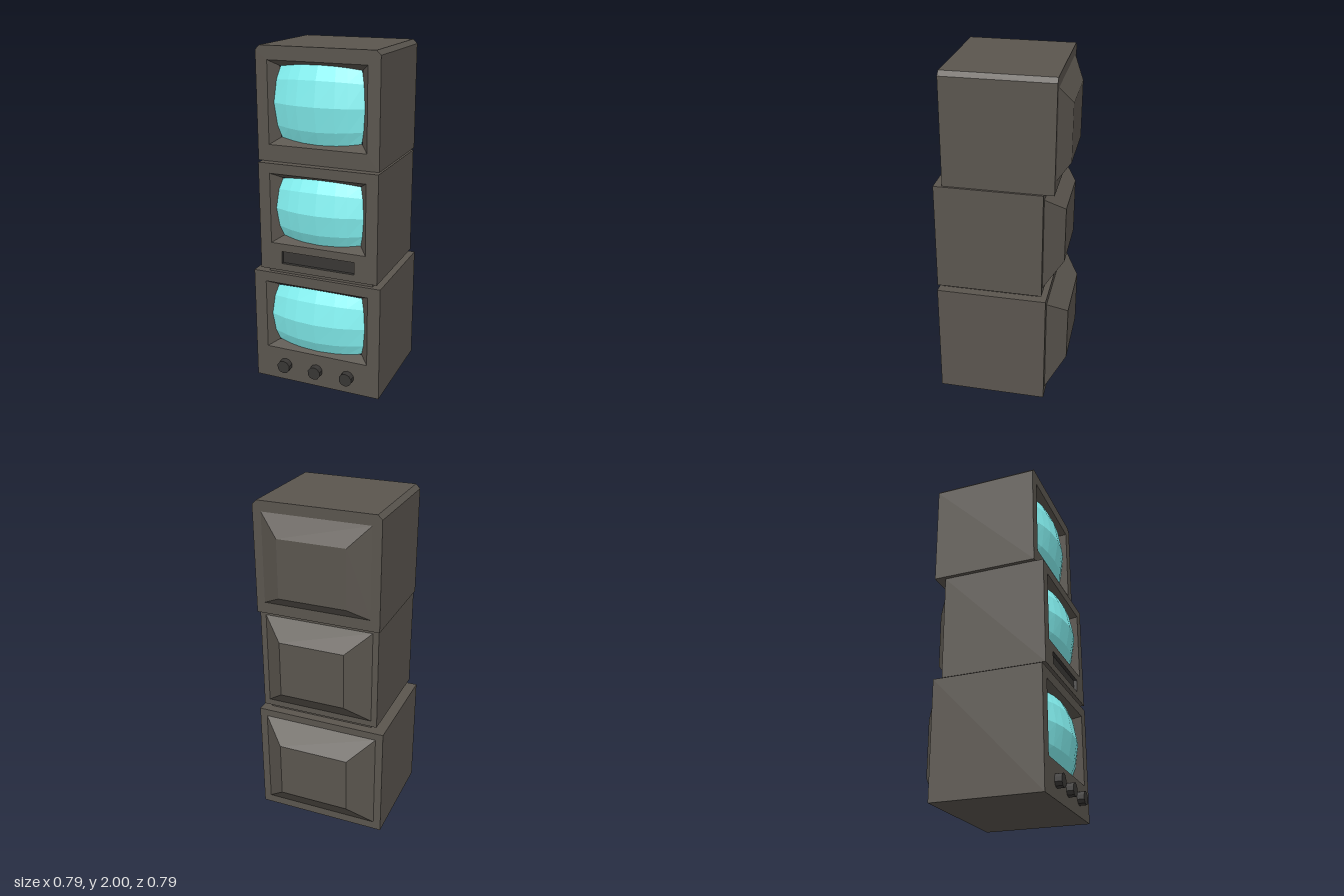
import * as THREE from 'three';

const material = (color) => new THREE.MeshStandardMaterial({ color, flatShading: true });
const shell = material(0x5a554e), dark = material(0x383634), glass = material(0x84f2f2);

// Rectangle [x0, x1, y0, y1] as a counterclockwise loop; c chamfers the two top corners
function loop([x0, x1, y0, y1], c = 0) {
  const p = c
    ? [[x0, y0], [x1, y0], [x1, y1 - c], [x1 - c, y1], [x0 + c, y1], [x0, y1 - c]]
    : [[x0, y0], [x1, y0], [x1, y1], [x0, y1]];
  return p.map(([x, y]) => new THREE.Vector2(x, y));
}

function addMesh(group, name, geometry, mat) {
  const mesh = new THREE.Mesh(geometry, mat);
  mesh.name = name;
  group.add(mesh);
  return mesh;
}

// Walls between loop a at za and loop b at zb
function walls(a, za, b, zb) {
  const pos = [];
  a.forEach((p, i) => {
    const j = (i + 1) % a.length;
    const A = [p.x, p.y, za], B = [a[j].x, a[j].y, za];
    const C = [b[j].x, b[j].y, zb], D = [b[i].x, b[i].y, zb];
    pos.push(...A, ...B, ...C, ...A, ...C, ...D);
  });
  const g = new THREE.BufferGeometry();
  g.setAttribute('position', new THREE.Float32BufferAttribute(pos, 3));
  g.computeVertexNormals();
  return g;
}

// Flat panel with holes, facing the front or the back
function panel(points, z, holes = [], back = false) {
  const shape = new THREE.Shape(points);
  holes.forEach((h) => shape.holes.push(new THREE.Path(h)));
  const g = new THREE.ShapeGeometry(shape);
  if (back) g.index.array.reverse();
  g.translate(0, 0, z);
  g.computeVertexNormals();
  return g;
}

// Convex picture tube face with bowed edges that rest on the sloped surround
function screen([x0, x1, y0, y1], peak) {
  const us = [-1, -0.68, -0.42, 0, 0.42, 0.68, 1], vs = [-1, -0.64, 0, 0.64, 1];
  const pos = [], index = [], w = us.length;
  for (const v of vs) for (const u of us) {
    const x = (x0 + x1) / 2 + u * ((x1 - x0) / 2 - 0.03 * v * v);
    const y = (y0 + y1) / 2 + v * ((y1 - y0) / 2 - 0.02 * u * u);
    pos.push(x, y, peak - 0.06 * (u * u + v * v) + 0.025 * u * u * v * v);
  }
  for (let j = 0; j < vs.length - 1; j++) for (let i = 0; i < w - 1; i++) {
    const a = j * w + i, b = a + 1, c = a + w, d = c + 1;
    index.push(a, b, d, a, d, c);
  }
  let g = new THREE.BufferGeometry();
  g.setAttribute('position', new THREE.Float32BufferAttribute(pos, 3));
  g.setIndex(index);
  g = g.toNonIndexed();
  g.computeVertexNormals();
  return g;
}

function television({ name, box, chamfer, back, front, open, inner, glassRect, base, tip, tipZ, slot }) {
  const tv = new THREE.Group();
  tv.name = name;
  const outline = loop(box, chamfer);
  const holes = [loop(open)];
  if (slot) holes.push(loop(slot));

  // Cabinet
  addMesh(tv, 'cabinetSides', walls(outline, back, outline, front), shell);
  addMesh(tv, 'frontPanel', panel(outline, front, holes), shell);
  addMesh(tv, 'backPanel', panel(outline, back, [loop(base)], true), shell);

  // Tapered rear housing
  addMesh(tv, 'rearHousing', walls(loop(tip), tipZ, loop(base), back), shell);
  addMesh(tv, 'rearHousingEnd', panel(loop(tip), tipZ, [], true), shell);

  // Sloped surround and screen
  addMesh(tv, 'screenSurround', walls(loop(open), front, loop(inner), front - 0.06), shell);
  addMesh(tv, 'screen', screen(glassRect, front + 0.034), glass);

  // Recessed slot
  if (slot) {
    addMesh(tv, 'slotSides', walls(loop(slot), front, loop(slot), front - 0.02), dark);
    addMesh(tv, 'slotBack', panel(loop(slot), front - 0.02), dark);
  }
  return tv;
}

export function createModel() {
  const model = new THREE.Group();
  model.name = 'televisionStack';

  const bottom = television({
    name: 'bottomTelevision', box: [-0.395, 0.395, 0, 0.693], back: -0.285, front: 0.355,
    open: [-0.32, 0.32, 0.205, 0.632], inner: [-0.265, 0.265, 0.235, 0.598],
    glassRect: [-0.295, 0.295, 0.217, 0.615],
    base: [-0.35, 0.35, 0.05, 0.65], tip: [-0.212, 0.212, 0.19, 0.53], tipZ: -0.395,
  });

  const middle = television({
    name: 'middleTelevision', box: [-0.345, 0.375, 0.718, 1.355], back: -0.257, front: 0.358,
    open: [-0.275, 0.305, 0.882, 1.297], inner: [-0.222, 0.255, 0.915, 1.262],
    glassRect: [-0.25, 0.285, 0.896, 1.28],
    base: [-0.31, 0.34, 0.755, 1.315], tip: [-0.18, 0.21, 0.87, 1.207], tipZ: -0.362,
    slot: [-0.21, 0.24, 0.76, 0.835],
  });

  const top = television({
    name: 'topTelevision', box: [-0.368, 0.362, 1.355, 2], chamfer: 0.025, back: -0.315, front: 0.31,
    open: [-0.298, 0.29, 1.45, 1.922], inner: [-0.248, 0.24, 1.485, 1.885],
    glassRect: [-0.274, 0.267, 1.464, 1.905],
    base: [-0.315, 0.312, 1.42, 1.94], tip: [-0.2, 0.195, 1.485, 1.825], tipZ: -0.38,
  });
  model.add(bottom, middle, top);

  // Low plinth between the bottom and middle sets
  addMesh(model, 'plinth', new THREE.BoxGeometry(0.645, 0.03, 0.56), shell).position.set(0.018, 0.706, 0.05);

  // Control knobs
  for (const x of [-0.2, 0, 0.2]) {
    const knob = new THREE.CylinderGeometry(0.04, 0.04, 0.05, 10).rotateX(Math.PI / 2);
    addMesh(bottom, 'knob', knob, dark).position.set(x, 0.102, 0.37);
  }
  return model;
}
